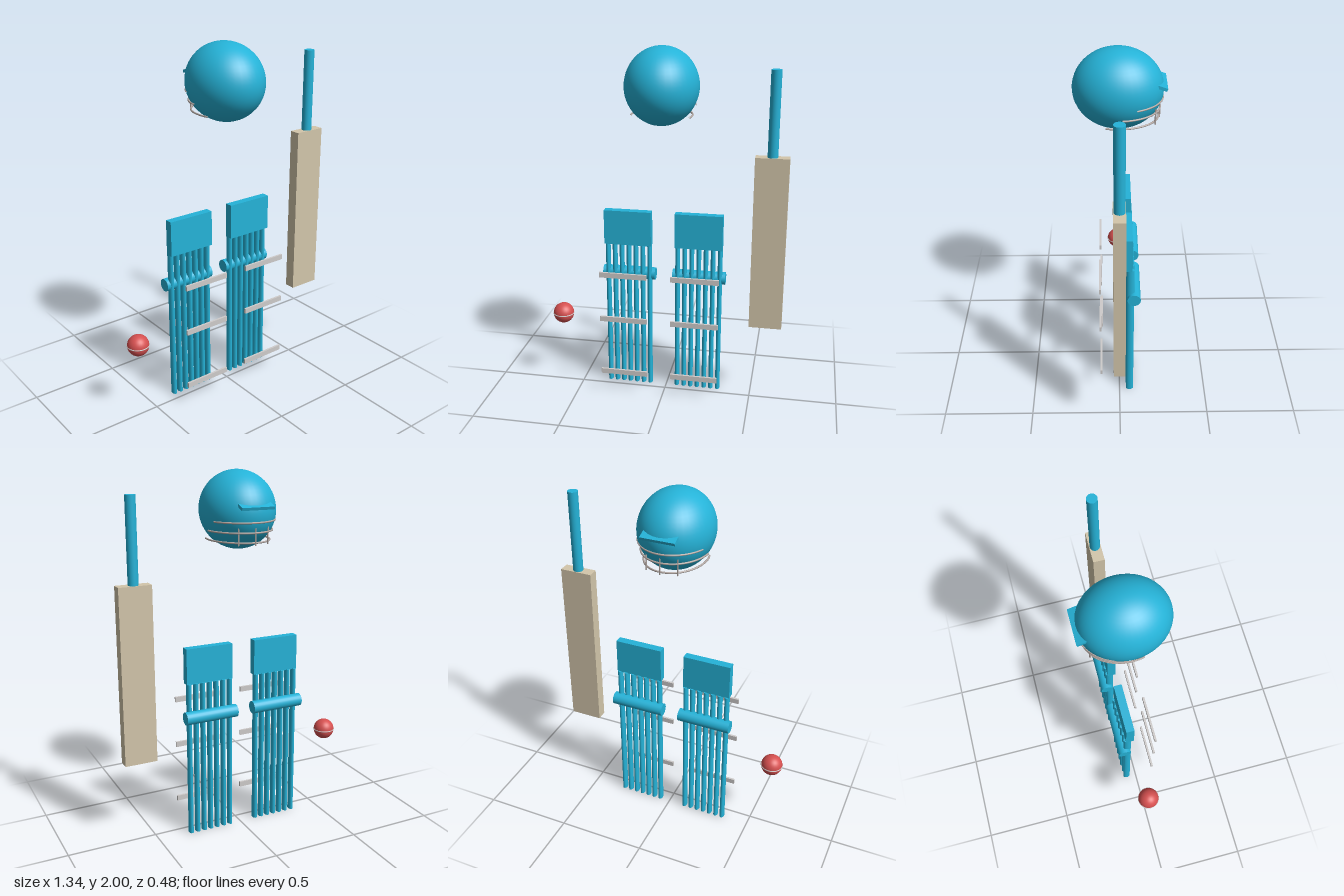
import * as THREE from 'three';

const mat = (name, color) => {
  const m = new THREE.MeshStandardMaterial({ color });
  m.name = name;
  return m;
};

export function createModel() {
  const blue = mat('team blue', 0x25b3d8);
  const wood = mat('willow wood', 0xd3c6ab);
  const red = mat('ball red', 0xd65050);
  const pale = mat('strap grey', 0xcfcccb);
  const steel = mat('grille steel', 0xb3a8a3);

  const model = new THREE.Group();
  model.name = 'cricketKit';

  const add = (parent, name, geometry, material, x, y, z) => {
    const mesh = new THREE.Mesh(geometry, material);
    mesh.name = name;
    mesh.position.set(x, y, z);
    parent.add(mesh);
    return mesh;
  };
  const group = (name, x, y, z) => {
    const g = new THREE.Group();
    g.name = name;
    g.position.set(x, y, z);
    model.add(g);
    return g;
  };

  // Helmet: egg-shaped shell, tilted peak and wire grille facing -z
  const helmet = group('helmet', -0.015, 1.793, 0.004);
  add(helmet, 'shell', new THREE.SphereGeometry(1, 40, 28), blue, 0, 0, 0).scale.set(0.198, 0.207, 0.231);
  const peak = add(helmet, 'peak', new THREE.BoxGeometry(0.186, 0.016, 0.09), blue, 0, 0.04, -0.2);
  peak.rotation.x = -0.35;

  // Each bar: height, half width, reach, and how far back its ends run
  const bars = [
    [-0.048, 0.192, 0.226, -0.09],
    [-0.101, 0.178, 0.213, -0.02],
    [-0.152, 0.162, 0.207, 0.062],
  ];
  for (const [y, rx, rz, endZ] of bars) {
    const start = Math.asin(-endZ / rz);
    const points = [];
    for (let i = 0; i <= 24; i++) {
      const a = start + (Math.PI - 2 * start) * (i / 24);
      points.push(new THREE.Vector3(rx * Math.cos(a), y, -rz * Math.sin(a)));
    }
    const path = new THREE.CatmullRomCurve3(points);
    add(helmet, 'grilleBar', new THREE.TubeGeometry(path, 48, 0.005, 8), steel, 0, 0, 0);
  }
  for (const x of [-0.085, 0, 0.085]) {
    const z = -0.212 * Math.sqrt(1 - (x / 0.18) ** 2);
    add(helmet, 'grillePost', new THREE.CylinderGeometry(0.004, 0.004, 0.12, 8), steel, x, -0.105, z);
  }

  // Leg pads: upright canes, top flap, knee roll and three straps
  for (const [name, x] of [['rightPad', -0.22], ['leftPad', 0.185]]) {
    const pad = group(name, x, 0, 0);
    for (let i = -3; i <= 3; i++) {
      const cane = add(pad, 'cane', new THREE.CylinderGeometry(1, 1, 0.885, 16), blue, i * 0.0405, 0.4425, -0.0585);
      cane.scale.set(0.0135, 1, 0.0215);
    }
    add(pad, 'topFlap', new THREE.BoxGeometry(0.27, 0.2, 0.045), blue, 0, 0.982, -0.047);
    const roll = add(pad, 'kneeRoll', new THREE.CylinderGeometry(0.036, 0.036, 0.304, 24), blue, 0, 0.697, -0.079);
    roll.rotation.z = Math.PI / 2;
    for (const y of [0.14, 0.475, 0.745]) {
      add(pad, 'strap', new THREE.BoxGeometry(0.27, 0.03, 0.012), pale, 0, y, 0.106);
    }
  }

  // Bat: plain blade and round grip
  const bat = group('bat', 0.576, 0, 0.004);
  add(bat, 'blade', new THREE.BoxGeometry(0.182, 0.977, 0.062), wood, 0, 0.949, 0);
  add(bat, 'handle', new THREE.CylinderGeometry(0.028, 0.028, 0.456, 24), blue, 0, 1.665, 0);

  // Ball with a raised seam
  const ball = group('ball', -0.605, 0.443, 0.004);
  add(ball, 'ballBody', new THREE.SphereGeometry(0.06, 32, 24), red, 0, 0, 0);
  const seam = add(ball, 'seam', new THREE.TorusGeometry(0.06, 0.003, 8, 40), pale, 0, 0, 0);
  seam.rotation.x = Math.PI / 2;

  return model;
}
